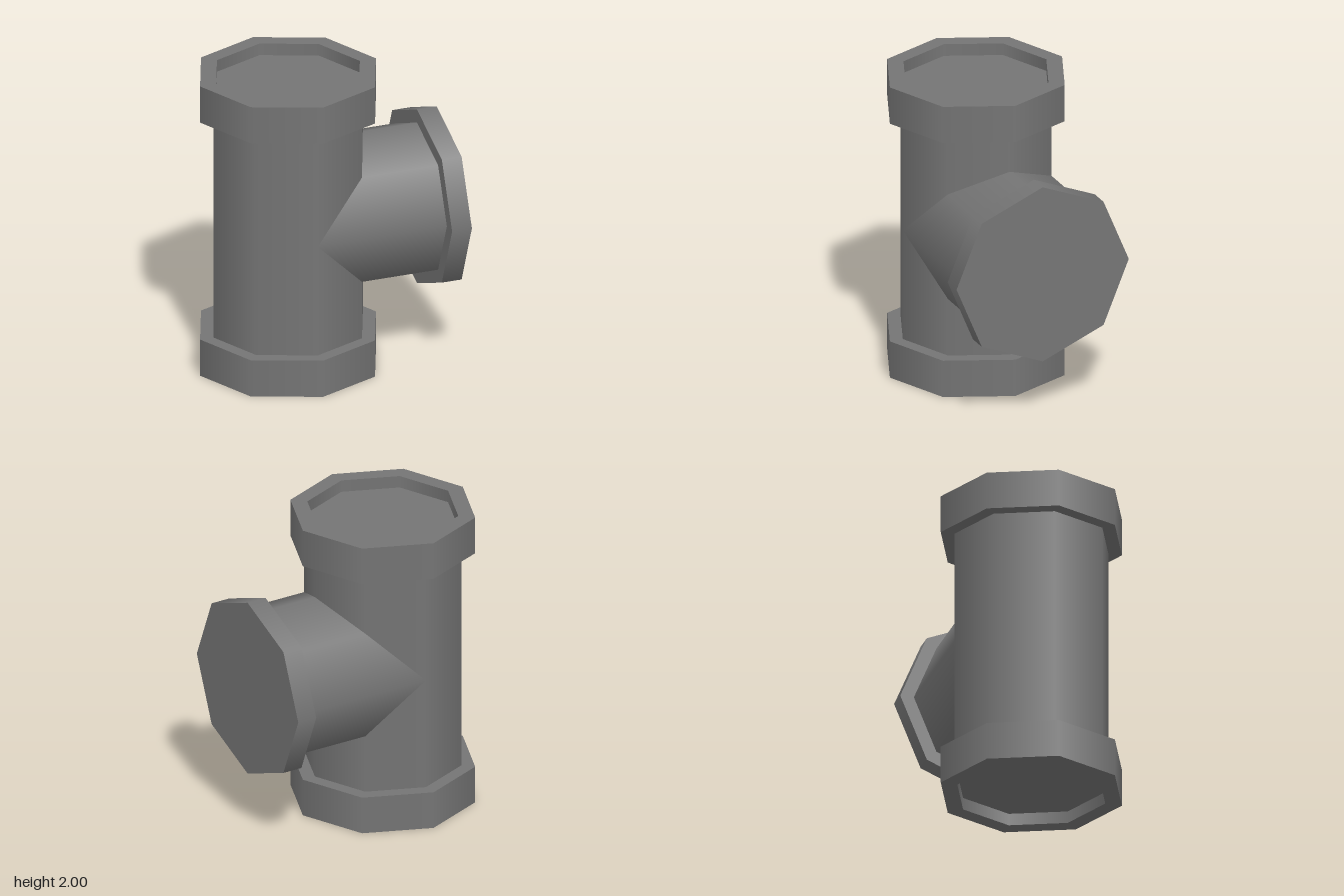
import * as THREE from 'three';
import { mergeGeometries } from 'three/addons/utils/BufferGeometryUtils.js';

const SIDES = 8;
const PIPE_R = 0.51, COLLAR_R = 0.6, SOCKET_R = 0.49;
const AXIS_X = -0.21;

// Octagonal lathe: smooth around, sharp at every profile corner.
// Profile points are [radius, height], running upward on the outside.
function turned(profile) {
  const bands = [];
  for (let i = 0; i < profile.length - 1; i++) {
    const pair = [profile[i], profile[i + 1]].map(([r, y]) => new THREE.Vector2(r, y));
    bands.push(new THREE.LatheGeometry(pair, SIDES));
  }
  return mergeGeometries(bands);
}

export function createModel() {
  const greyMetal = new THREE.MeshStandardMaterial({ color: 0x757575 });
  greyMetal.name = 'greyMetal';
  const model = new THREE.Group();
  model.name = 'pipeTee';

  const add = (name, geometry, parent) => {
    const mesh = new THREE.Mesh(geometry, greyMetal);
    mesh.name = name;
    parent.add(mesh);
    return mesh;
  };

  // Upright run, centred on its own middle
  const run = new THREE.Group();
  run.name = 'uprightRun';
  run.position.set(AXIS_X, 1, 0);
  model.add(run);
  add('mainPipe', turned([[PIPE_R, -0.75], [PIPE_R, 0.75]]), run);

  // End collars with a shallow recessed socket
  const collar = turned([
    [SOCKET_R, 0.75], [COLLAR_R, 0.75], [COLLAR_R, 1],
    [SOCKET_R, 1], [SOCKET_R, 0.92], [0, 0.92],
  ]);
  add('topCollar', collar, run);
  add('bottomCollar', collar, run).rotation.x = Math.PI;

  // Side branch with a closed flange, pointing to +x
  const branch = new THREE.Group();
  branch.name = 'sideBranch';
  branch.position.set(AXIS_X, 1, 0);
  branch.rotation.z = -Math.PI / 2;
  model.add(branch);
  add('branchPipe', turned([[PIPE_R, 0], [PIPE_R, 0.88]]), branch);
  add('branchFlange', turned([[SOCKET_R, 0.88], [COLLAR_R, 0.88], [COLLAR_R, 1.015], [0, 1.015]]), branch);

  return model;
}
